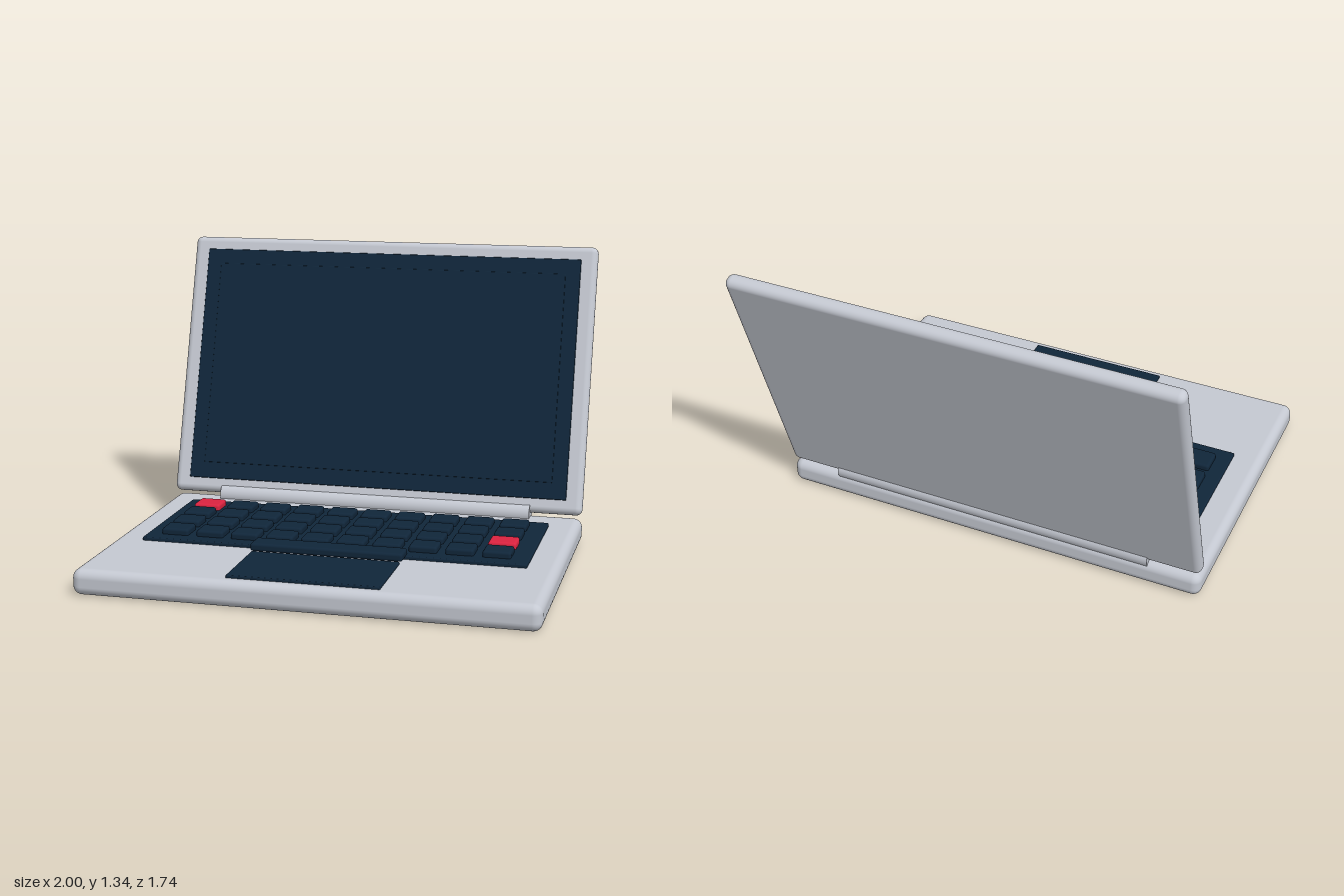
import * as THREE from 'three';
import { RoundedBoxGeometry } from 'three/addons/geometries/RoundedBoxGeometry.js';

export function createModel() {
  const model = new THREE.Group();
  model.name = 'laptop';

  const material = (name, color) => {
    const m = new THREE.MeshStandardMaterial({ color });
    m.name = name;
    return m;
  };
  const silver = material('silver shell', 0xc5c9d2);
  const navy = material('dark navy', 0x10263a);
  const red = material('accent red', 0xdc2340);

  // Rounded box given by its size and centre
  const block = (parent, name, mat, [w, h, d], [x, y, z], radius) => {
    const mesh = new THREE.Mesh(new RoundedBoxGeometry(w, h, d, 4, radius), mat);
    mesh.name = name;
    mesh.position.set(x, y, z);
    parent.add(mesh);
    return mesh;
  };

  // Lower body with keyboard tray and trackpad
  block(model, 'base', silver, [2, 0.115, 1.365], [0, 0.0575, 0.1875], 0.04);
  block(model, 'keyboardTray', navy, [1.73, 0.03, 0.68], [0, 0.115, 0.035], 0.006);
  block(model, 'trackpad', navy, [0.66, 0.024, 0.365], [0, 0.115, 0.632], 0.005);

  // Four rows of ten keys, two of them accented
  const keys = new THREE.Group();
  keys.name = 'keys';
  model.add(keys);
  for (let row = 0; row < 4; row++) {
    for (let col = 0; col < 10; col++) {
      const accent = (row === 0 && col === 0) || (row === 2 && col === 9);
      block(keys, accent ? 'accentKey' : 'key', accent ? red : navy, [0.125, 0.036, 0.112],
        [-0.735 + col * 0.162, 0.14, -0.186 + row * 0.146], 0.012);
    }
  }
  block(keys, 'spaceBar', navy, [0.68, 0.036, 0.106], [0, 0.14, 0.392], 0.012);

  // Hinge barrel
  const hinge = new THREE.Mesh(new THREE.CylinderGeometry(0.05, 0.05, 1.515, 24), silver);
  hinge.name = 'hinge';
  hinge.rotation.z = Math.PI / 2;
  hinge.position.set(0, 0.13, -0.45);
  model.add(hinge);

  // Lid leaning back, with screen frame and display
  const lid = new THREE.Group();
  lid.name = 'lid';
  lid.position.set(0, 0.737, -0.647);
  lid.rotation.x = -Math.PI / 10;
  model.add(lid);
  block(lid, 'lidShell', silver, [2, 1.27, 0.07], [0, 0, 0], 0.03);
  block(lid, 'screenFrame', navy, [1.85, 1.14, 0.009], [0, 0, 0.0355], 0.004);
  block(lid, 'display', navy, [1.71, 0.99, 0.006], [0, 0.003, 0.0395], 0.002);

  return model;
}
